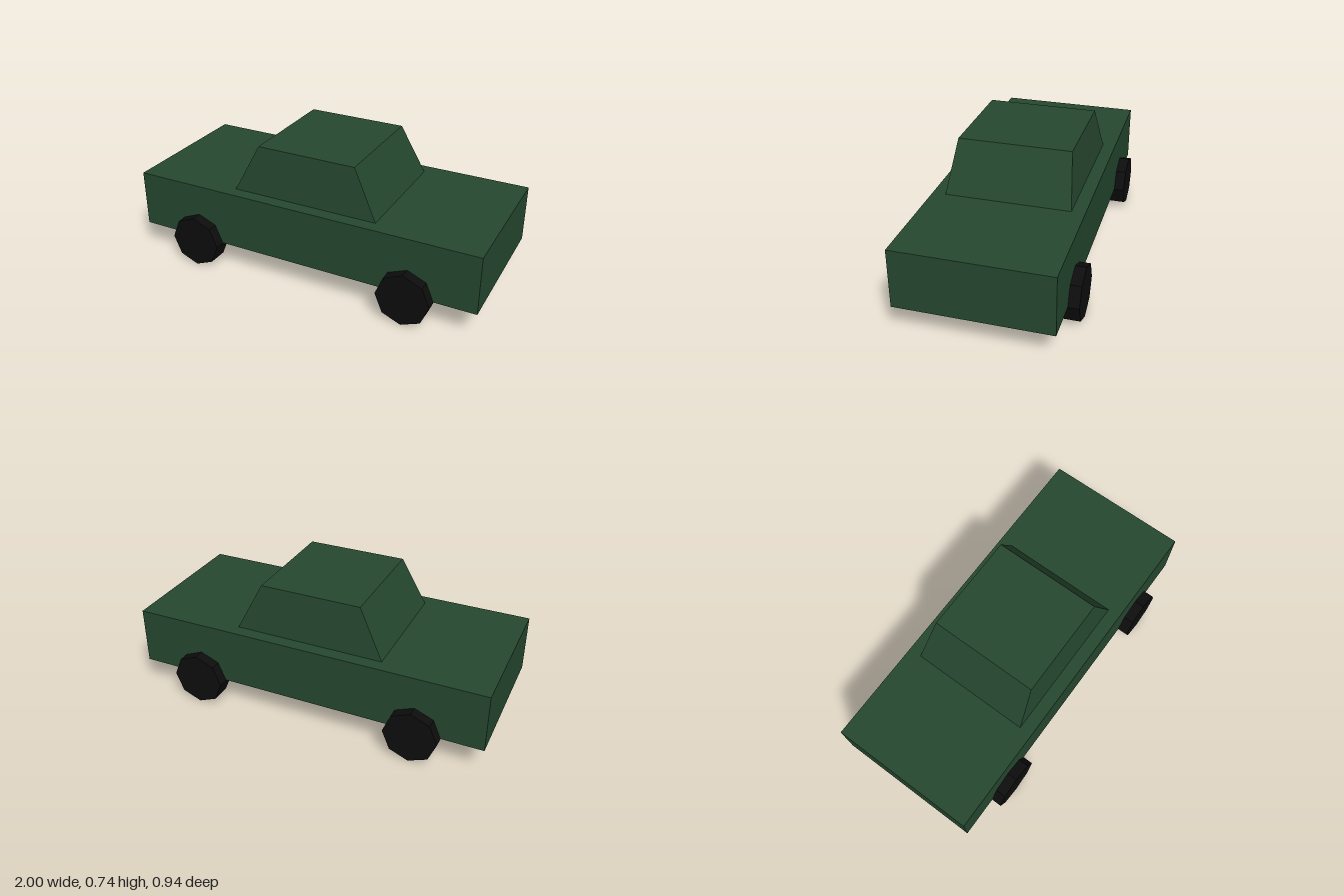
import * as THREE from 'three';

export function createModel() {
  const car = new THREE.Group();
  car.name = 'car';

  const paint = new THREE.MeshStandardMaterial({ color: 0x25472f, flatShading: true });
  paint.name = 'dark green paint';
  const rubber = new THREE.MeshStandardMaterial({ color: 0x0d0d0d, flatShading: true });
  rubber.name = 'black rubber';

  function add(name, geometry, material, x, y, z) {
    const mesh = new THREE.Mesh(geometry, material);
    mesh.name = name;
    mesh.position.set(x, y, z);
    car.add(mesh);
  }

  // Main body slab
  add('body', new THREE.BoxGeometry(2, 0.322, 0.82), paint, 0, 0.311, 0);

  // Cabin: a box whose top corners are drawn inward
  const cabin = new THREE.BoxGeometry(0.836, 0.268, 0.676);
  const p = cabin.attributes.position;
  for (let i = 0; i < p.count; i++) {
    if (p.getY(i) > 0) {
      p.setX(i, Math.sign(p.getX(i)) * 0.281);
      p.setZ(i, Math.sign(p.getZ(i)) * 0.305);
    }
  }
  cabin.computeVertexNormals();
  add('cabin', cabin, paint, 0, 0.605, 0);

  // Four eight-sided wheels, one corner pointing straight up
  const wheel = new THREE.CylinderGeometry(0.147, 0.147, 0.114, 8).rotateX(Math.PI / 2);
  for (const [sideName, z] of [['front', 0.411], ['back', -0.411]]) {
    for (const [endName, x] of [['Left', 0.627], ['Right', -0.627]]) {
      add(sideName + endName + 'Wheel', wheel, rubber, x, 0.149, z);
    }
  }

  return car;
}
